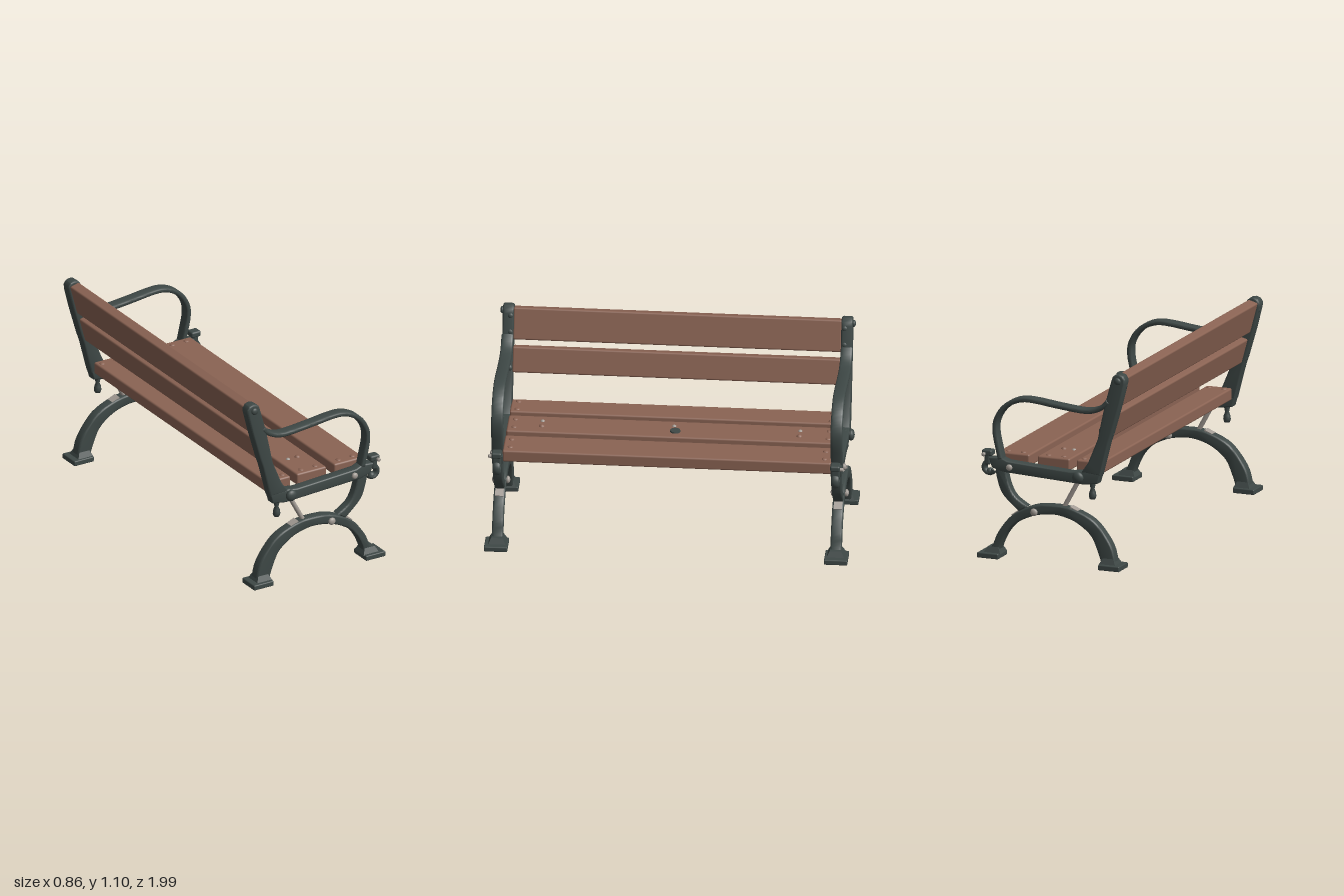
import * as THREE from 'three';
import { toCreasedNormals } from 'three/addons/utils/BufferGeometryUtils.js';
import { RoundedBoxGeometry } from 'three/addons/geometries/RoundedBoxGeometry.js';

const mat = (name, color) => new THREE.MeshStandardMaterial({ name, color });
const FRAME_Z = 0.927;

export function createModel() {
  const wood = mat('wood', 0x8a6353);
  const iron = mat('castIron', 0x3e4846);
  const steel = mat('steel', 0xa39c95);
  const bench = new THREE.Group();
  bench.name = 'bench';

  const add = (parent, name, geometry, material, x = 0, y = 0, z = 0) => {
    const mesh = new THREE.Mesh(geometry, material);
    mesh.name = name;
    mesh.position.set(x, y, z);
    parent.add(mesh);
    return mesh;
  };
  const toVectors = (pts) => pts.map(([x, y]) => new THREE.Vector2(x, y));
  const smooth = (pts, n = 36) => new THREE.SplineCurve(toVectors(pts)).getPoints(n);

  // Outline extruded across z with softened edges, centred on z = 0
  const casting = (outline, depth, bevel) => {
    const geometry = new THREE.ExtrudeGeometry(new THREE.Shape(outline), {
      depth: depth - 2 * bevel, bevelEnabled: true, bevelThickness: bevel,
      bevelSize: bevel, bevelOffset: -bevel, bevelSegments: 3,
    });
    geometry.translate(0, 0, -depth / 2 + bevel);
    return toCreasedNormals(geometry, 0.7);
  };
  // Closed outline between two smooth edges
  const between = (outer, inner) => [...smooth(outer), ...smooth(inner).reverse()];
  // Closed outline of constant width about a smooth path
  const stroke = (pts, width) => {
    const curve = new THREE.SplineCurve(toVectors(pts));
    const a = [], b = [];
    for (let i = 0; i <= 60; i++) {
      const p = curve.getPoint(i / 60), t = curve.getTangent(i / 60);
      const n = new THREE.Vector2(-t.y, t.x).multiplyScalar(width / 2);
      a.push(p.clone().add(n));
      b.push(p.clone().sub(n));
    }
    return [...a, ...b.reverse()];
  };

  const archGeometry = casting(between(
    [[-0.375, 0.03], [-0.354, 0.12], [-0.3, 0.205], [-0.23, 0.272], [-0.11, 0.32], [0, 0.328],
      [0.115, 0.313], [0.238, 0.25], [0.32, 0.15], [0.35, 0.083], [0.38, 0.03]],
    [[-0.29, 0.03], [-0.27, 0.09], [-0.23, 0.175], [-0.156, 0.235], [-0.083, 0.264], [0, 0.275],
      [0.107, 0.258], [0.208, 0.21], [0.267, 0.15], [0.305, 0.075], [0.317, 0.03]]), 0.062, 0.01);
  const braceGeometry = casting(between(
    [[0.2, 0.27], [0.296, 0.36], [0.331, 0.447], [0.34, 0.51]],
    [[0.15, 0.305], [0.223, 0.354], [0.26, 0.418], [0.28, 0.5]]), 0.055, 0.01);
  const railGeometry = casting(toVectors(
    [[-0.284, 0.53], [-0.268, 0.475], [-0.185, 0.462], [0.296, 0.486], [0.36, 0.505],
      [0.378, 0.56], [0.31, 0.567], [0.267, 0.549], [-0.11, 0.527], [-0.2, 0.54]]), 0.06, 0.008);
  const postGeometry = casting([
    ...toVectors([[-0.284, 0.52], [-0.17, 0.53], [-0.21, 0.585], [-0.268, 0.725], [-0.29, 0.83],
      [-0.312, 0.93], [-0.35, 1.065]]),
    ...toVectors([[-0.357, 1.086], [-0.375, 1.1], [-0.395, 1.103], [-0.418, 1.095], [-0.431, 1.075]]),
    ...toVectors([[-0.43, 1.05], [-0.4, 0.93], [-0.352, 0.765], [-0.333, 0.71]])], 0.062, 0.01);
  const armGeometry = casting(stroke(
    [[-0.33, 0.945], [-0.3, 0.912], [-0.25, 0.885], [-0.18, 0.875], [-0.03, 0.888], [0.1, 0.903],
      [0.18, 0.903], [0.25, 0.878], [0.305, 0.83], [0.338, 0.765], [0.341, 0.7], [0.325, 0.62],
      [0.31, 0.555]], 0.028), 0.066, 0.011);

  // Dome-headed bolt lying along z
  const bolt = (parent, name, material, x, y, z, r, length = 0.03) => {
    const shank = add(parent, name, new THREE.CylinderGeometry(r * 0.9, r * 0.9, length, 16), material, x, y, z);
    shank.rotation.x = Math.PI / 2;
    for (const s of [-1, 1]) {
      const dome = add(parent, name + 'Head', new THREE.SphereGeometry(r, 16, 10), material, x, y, z + s * length / 2);
      dome.scale.z = 0.6;
    }
  };

  // Iron end frames
  for (const side of [1, -1]) {
    const frame = new THREE.Group();
    frame.name = side > 0 ? 'leftEndFrame' : 'rightEndFrame';
    frame.position.z = side * FRAME_Z;
    bench.add(frame);
    add(frame, 'legArch', archGeometry, iron);
    add(frame, 'curvedBrace', braceGeometry, iron);
    add(frame, 'seatRail', railGeometry, iron);
    add(frame, 'backPost', postGeometry, iron);
    add(frame, 'armrest', armGeometry, iron, 0, 0, side * 0.002);

    // Feet with a tapered ankle
    for (const [x, ankleX] of [[-0.35, -0.333], [0.368, 0.35]]) {
      add(frame, 'foot', new RoundedBoxGeometry(0.126, 0.03, 0.128, 2, 0.006), iron, x, 0.015, side * 0.004);
      const ankle = new THREE.CylinderGeometry(0.045, 0.07, 0.035, 4, 1);
      ankle.rotateY(Math.PI / 4);
      add(frame, 'ankle', toCreasedNormals(ankle, 0.5), iron, ankleX, 0.043, 0);
    }

    // Steel strut under the seat
    const a = new THREE.Vector3(-0.15, 0.485, 0), b = new THREE.Vector3(-0.055, 0.31, 0);
    const strut = add(frame, 'strut', new THREE.CylinderGeometry(0.013, 0.013, a.distanceTo(b), 14), steel);
    strut.position.copy(a).add(b).multiplyScalar(0.5);
    strut.quaternion.setFromUnitVectors(new THREE.Vector3(0, 1, 0), a.clone().sub(b).normalize());

    // Worn plates on the arch
    for (const [x, y, tilt] of [[-0.125, 0.316, 0.4], [0.222, 0.262, -0.62]])
      add(frame, 'wornPlate', new THREE.BoxGeometry(0.05, 0.008, 0.046), steel, x, y, 0).rotation.z = tilt;

    // Bolts
    bolt(frame, 'archBolt', steel, 0.105, 0.28, 0, 0.021, 0.075);
    bolt(frame, 'railBolt', steel, 0.252, 0.517, side * 0.02, 0.018, 0.036);
    bolt(frame, 'pivotBolt', iron, -0.157, 0.502, side * 0.025, 0.033, 0.03);
    bolt(frame, 'postBolt', iron, -0.39, 1.065, side * 0.025, 0.02, 0.02);
    bolt(frame, 'hookBolt', steel, 0.405, 0.577, side * 0.025, 0.011, 0.03);

    // Curled front hook
    add(frame, 'hookCap', new RoundedBoxGeometry(0.06, 0.034, 0.055, 2, 0.01), iron, 0.391, 0.583, 0);
    add(frame, 'hookNeck', new RoundedBoxGeometry(0.034, 0.07, 0.05, 2, 0.012), iron, 0.39, 0.55, 0);
    const curl = add(frame, 'hookCurl', new THREE.TorusGeometry(0.03, 0.016, 10, 24, 4.4), iron, 0.383, 0.5, 0);
    curl.rotation.z = -2.8;
    curl.scale.z = 1.4;
    add(frame, 'hookTip', new THREE.SphereGeometry(0.022, 14, 10), iron, 0.38, 0.475, 0);

    // Hanging rear knob
    const knob = [[0, 0], [0.016, 0.005], [0.021, 0.022], [0.018, 0.043], [0.011, 0.062], [0.018, 0.095]];
    add(frame, 'rearKnob', new THREE.LatheGeometry(toVectors(knob), 16), iron, -0.228, 0.376, 0);
  }

  // Seat slats
  const slats = [[-0.195, 0.15], [0.016, 0.19], [0.255, 0.19]];
  for (const [x, width] of slats) {
    add(bench, 'seatSlat', new RoundedBoxGeometry(width, 0.068, 1.8, 2, 0.01), wood, x, 0.549, 0);
    for (const s of [-1, 1]) for (const dx of [-0.045, 0.045]) {
      const plug = add(bench, 'slatPlug', new THREE.SphereGeometry(0.016, 12, 8), wood, x + dx, 0.582, s * 0.86);
      plug.scale.y = 0.5;
    }
  }
  for (const z of [-0.7, 0.71]) {
    add(bench, 'slatRivet', new THREE.SphereGeometry(0.013, 12, 8), steel, -0.02, 0.578, z);
    add(bench, 'slatPlug', new THREE.SphereGeometry(0.018, 12, 8), wood, 0.04, 0.576, z);
  }
  // Centre fixings above and below the seat
  add(bench, 'centreRivet', new THREE.SphereGeometry(0.013, 12, 8), steel, -0.02, 0.578, -0.01);
  add(bench, 'centreCap', new THREE.CylinderGeometry(0.028, 0.03, 0.009, 16), iron, 0.04, 0.586, -0.02);
  for (const x of [0.016, 0.255])
    add(bench, 'underPlate', new THREE.BoxGeometry(0.05, 0.008, 0.07), iron, x, 0.513, 0);

  // Back slats, leaning with the posts
  for (const [x, y, height] of [[-0.373, 0.998, 0.18], [-0.318, 0.805, 0.145]]) {
    const slat = add(bench, 'backSlat', new RoundedBoxGeometry(0.06, height, 1.8, 2, 0.01), wood, x, y, 0);
    slat.rotation.z = 0.265;
    // Iron studs fixing each slat to the posts
    for (const s of [-1, 1]) for (const h of [-0.045, 0.045])
      for (const face of [-1, 1]) {
        const stud = add(slat, 'backStud', new THREE.SphereGeometry(0.017, 12, 8), iron, face * 0.033, h, s * 0.915);
        stud.scale.x = 0.7;
      }
  }
  return bench;
}
